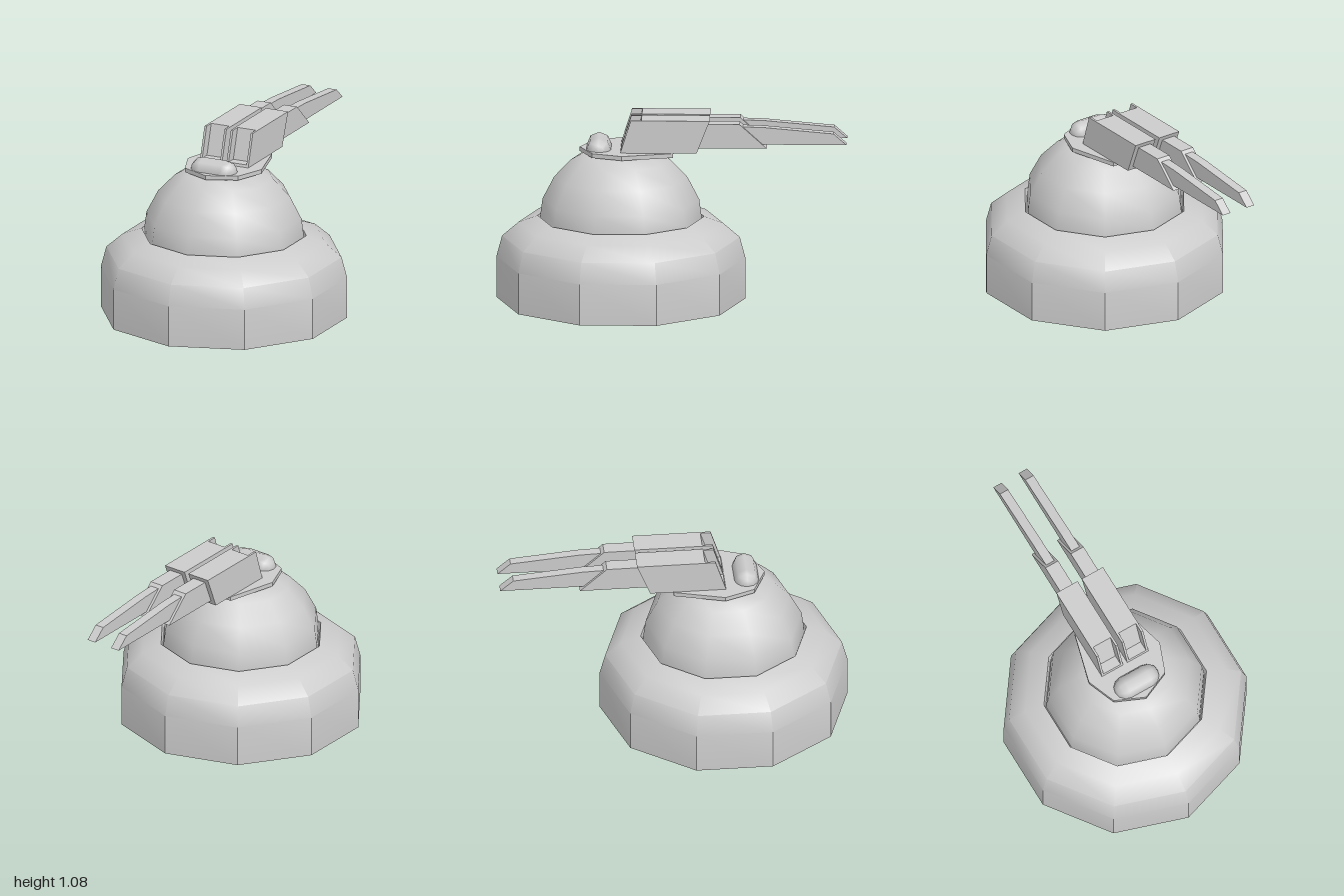
import * as THREE from 'three';
import { toCreasedNormals } from 'three/addons/utils/BufferGeometryUtils.js';

const material = new THREE.MeshStandardMaterial({ color: 0xcccccc });
const CENTER_Z = 0.29;
const SIDES = 10;

function part(name, geometry, parent) {
  const mesh = new THREE.Mesh(geometry, material);
  mesh.name = name;
  parent.add(mesh);
  return mesh;
}

const points = (list) => list.map(([a, b]) => new THREE.Vector2(a, b));

// Prism from a side profile of [z, y] points, spanning x0..x1
function sidePrism(profile, x0, x1) {
  const shape = new THREE.Shape(points(profile.map(([z, y]) => [-z, y])));
  const geometry = new THREE.ExtrudeGeometry(shape, { depth: x1 - x0, bevelEnabled: false });
  geometry.rotateY(Math.PI / 2);
  return geometry.translate(x0, 0, 0);
}

// One gun, built around its own x = 0
function createGun(name) {
  const gun = new THREE.Group();
  gun.name = name;

  // Housing core, with a channel left open at its front
  part('housing', sidePrism([[0.23, 0.885], [0.17, 1.075], [-0.22, 1.075], [-0.145, 0.885]], -0.07, 0.07), gun);
  const cheek = [[0.29, 0.885], [0.23, 1.075], [0.17, 1.075], [0.23, 0.885]];
  part('housingCheekLeft', sidePrism(cheek, 0.057, 0.07), gun);
  part('housingCheekRight', sidePrism(cheek, -0.07, -0.057), gun);
  part('channelFloor', sidePrism([[0.29, 0.885], [0.285, 0.9], [0.225, 0.9], [0.23, 0.885]], -0.057, 0.057), gun);

  // Stepped barrel
  part('barrelSleeve', sidePrism([[-0.15, 0.91], [-0.2, 1.05], [-0.39, 1.05], [-0.545, 0.91]], -0.042, 0.042), gun);
  part('barrel', sidePrism([[-0.36, 0.93], [-0.36, 1.035], [-0.53, 1.03], [-0.925, 0.995], [-1.0, 0.93]], -0.027, 0.027), gun);
  return gun;
}

export function createModel() {
  const model = new THREE.Group();
  model.name = 'turret';

  // Ten-sided base with a rounded shoulder and a narrow seat for the dome
  const baseProfile = points([
    [0, 0], [0.71, 0], [0.71, 0.24], [0.678, 0.36], [0.585, 0.44],
    [0.475, 0.48], [0.465, 0.44], [0, 0.44],
  ]);
  const base = part('base', toCreasedNormals(new THREE.LatheGeometry(baseProfile, SIDES), 0.617), model);
  base.position.z = CENTER_Z;

  // Smooth dome
  const domeProfile = points([
    [0.462, 0.43], [0.46, 0.48], [0.447, 0.58], [0.38, 0.71], [0.284, 0.81], [0.195, 0.86], [0, 0.87],
  ]);
  const dome = part('dome', new THREE.LatheGeometry(domeProfile, SIDES), model);
  dome.position.z = CENTER_Z;

  // Mounting plate, drawn as x and -z then laid flat
  const outline = points([
    [0, -0.525], [0.17, -0.45], [0.235, -0.28], [0.157, 0.01],
    [-0.157, 0.01], [-0.235, -0.28], [-0.17, -0.45],
  ]);
  const plate = new THREE.ExtrudeGeometry(new THREE.Shape(outline), { depth: 0.025, bevelEnabled: false });
  plate.rotateX(-Math.PI / 2);
  part('mountingPlate', plate, model).position.y = 0.86;

  // Rounded sensor pod
  const pod = new THREE.CapsuleGeometry(0.07, 0.14, 3, 8);
  pod.rotateZ(Math.PI / 2);
  part('sensorPod', pod, model).position.set(0, 0.885, 0.415);

  // Twin guns
  for (const side of [1, -1]) {
    const gun = createGun(side > 0 ? 'leftGun' : 'rightGun');
    gun.position.x = side * 0.084;
    model.add(gun);
  }
  return model;
}
